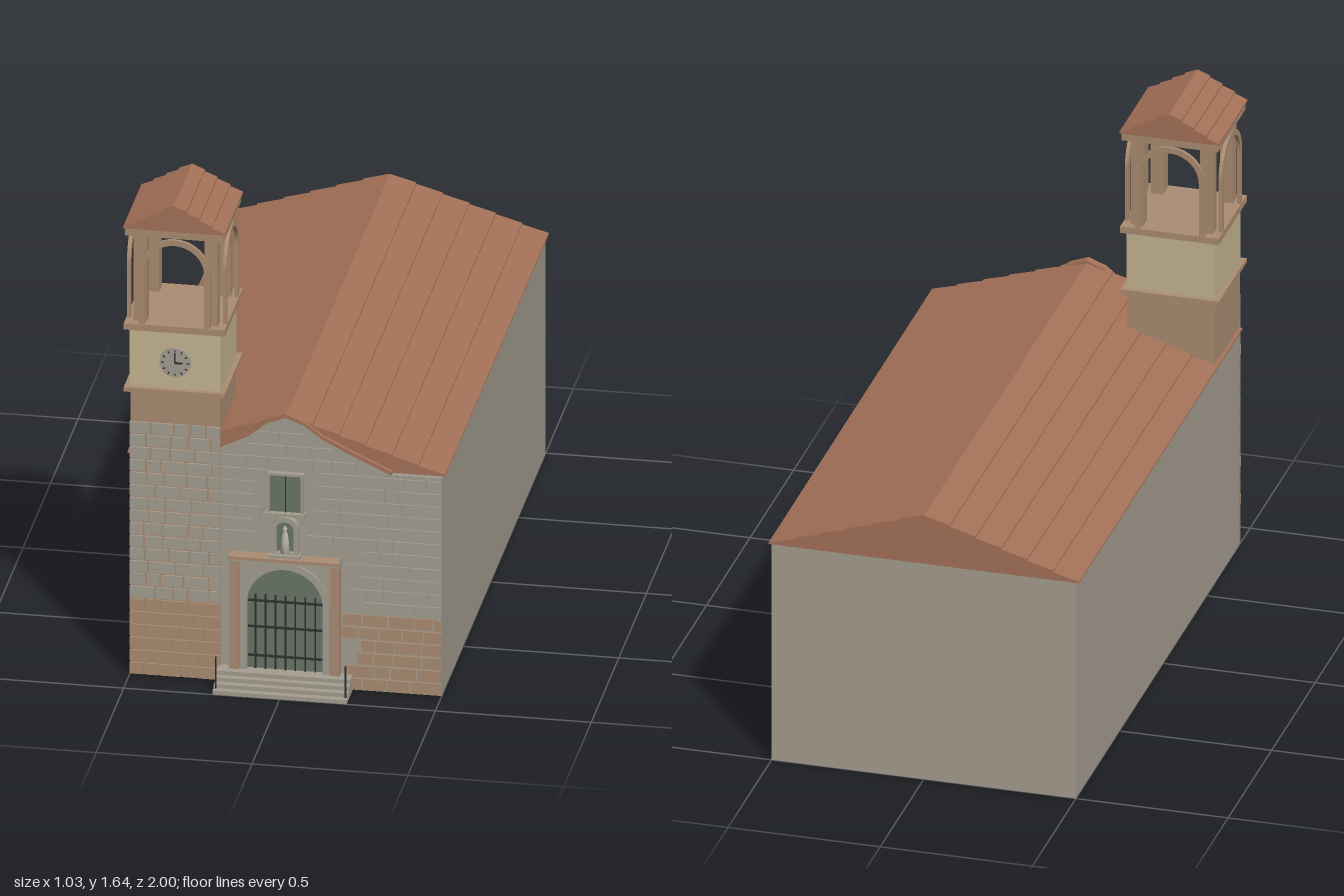
import * as THREE from 'three';
import { mergeGeometries } from 'three/addons/utils/BufferGeometryUtils.js';

const paint = (name, color) => {
  const m = new THREE.MeshStandardMaterial({ color });
  m.name = name;
  return m;
};

export function createModel() {
  const model = new THREE.Group();
  model.name = 'church';
  const stone = paint('grey stone', 0xa59e90), tan = paint('tan stone', 0xab8c72);
  const tile = paint('roof tile', 0xa47158), cream = paint('cream plaster', 0xc5b591);
  const green = paint('green shutter', 0x6a7566), iron = paint('dark iron', 0x2e302e);
  const pale = paint('pale stone', 0xb9b4a8);

  const add = (name, geo, mat, parent = model) => {
    const m = new THREE.Mesh(geo, mat);
    m.name = name;
    parent.add(m);
    return m;
  };
  // box given by its limits
  const span = (x0, x1, y0, y1, z0, z1) =>
    new THREE.BoxGeometry(x1 - x0, y1 - y0, z1 - z0).translate((x0 + x1) / 2, (y0 + y1) / 2, (z0 + z1) / 2);
  const extrude = (shape, z0, z1) =>
    new THREE.ExtrudeGeometry(shape, { depth: z1 - z0, bevelEnabled: false, curveSegments: 14 }).translate(0, 0, z0);
  const polygon = pts => new THREE.Shape(pts.map(p => new THREE.Vector2(...p)));
  // upright opening with a round head
  const archPath = (r, y0, spring, Type = THREE.Shape) => {
    const s = new Type();
    s.moveTo(-r, y0);
    s.lineTo(r, y0);
    s.lineTo(r, spring);
    s.absarc(0, spring, r, 0, Math.PI, false);
    s.lineTo(-r, y0);
    return s;
  };
  // arched band with open feet
  const archBand = (outer, inner, y0, spring) => {
    const s = new THREE.Shape();
    s.moveTo(outer, y0);
    s.lineTo(outer, spring);
    s.absarc(0, spring, outer, 0, Math.PI, false);
    s.lineTo(-outer, y0);
    s.lineTo(-inner, y0);
    s.lineTo(-inner, spring);
    s.absarc(0, spring, inner, Math.PI, 0, true);
    s.lineTo(inner, y0);
    return s;
  };
  // gabled roof with overlapping courses
  const gableRoof = (half, eave, ridge, courses, lip, z0, z1) => {
    const right = [];
    for (let i = 0; i < courses; i++) {
      const x = half * (1 - i / courses), y = eave + (ridge - eave) * i / courses;
      right.push([x, y], [x, y + lip]);
    }
    const left = right.map(([x, y]) => [-x, y]).reverse();
    return extrude(polygon([...right, [0, ridge], ...left]), z0, z1);
  };

  // nave
  add('naveWalls', span(-0.5, 0.5, 0, 0.76, -1, 0.875), stone);
  add('naveRoof', gableRoof(0.51, 0.76, 0.93, 6, 0.005, -1, 0.878), tile);

  // facade with curved gable
  const gable = [[-0.21, 0.81], [-0.12, 0.855], [-0.06, 0.905], [0, 0.928], [0.06, 0.905],
    [0.12, 0.86], [0.2, 0.82], [0.34, 0.755]];
  add('facadeWall', extrude(polygon([[-0.21, 0], [0.5, 0], [0.5, 0.755], ...[...gable].reverse()]), 0.86, 0.885), stone);
  add('gableCoping', extrude(polygon([...gable, ...gable.map(([x, y]) => [x, y + 0.012]).reverse()]), 0.865, 0.892), tile);

  // masonry courses
  let seed = 7;
  const rand = () => (seed = (seed * 16807) % 2147483647) / 2147483647;
  const gableHeight = x => {
    for (let i = 1; i < gable.length; i++) {
      const [ax, ay] = gable[i - 1], [bx, by] = gable[i];
      if (x <= bx) return ay + (by - ay) * (x - ax) / (bx - ax);
    }
    return 0.755;
  };
  const masonry = (x0, x1, y0, y1, front, allowed) => {
    const rows = Math.round((y1 - y0) / 0.0435), h = (y1 - y0) / rows, out = [];
    for (let r = 0; r < rows; r++) {
      let x = x0;
      while (x < x1 - 0.01) {
        let e = x + 0.045 + rand() * 0.045;
        if (e > x1 - 0.025) e = x1;
        const a = x + 0.003, b = e - 0.003, lo = y0 + r * h + 0.003, hi = lo + h - 0.006;
        if (allowed(a, b, lo, hi)) out.push(span(a, b, lo, hi, 0.88, front + rand() * 0.002));
        x = e;
      }
    }
    return mergeGeometries(out);
  };
  const clear = (a, b, lo, hi) => {
    const hits = (w, y0, y1) => a < w && b > -w && hi > y0 && lo < y1;
    return !hits(0.178, 0, 0.455) && !hits(0.05, 0.45, 0.6) && !hits(0.06, 0.585, 0.74)
      && hi < Math.min(gableHeight(a), gableHeight(b)) - 0.004;
  };
  add('facadeLowerStones', masonry(-0.207, 0.503, 0, 0.266, 0.889, clear), tan);
  add('facadeUpperStones', masonry(-0.207, 0.503, 0.266, 0.92, 0.889, clear), stone);
  add('towerLowerStones', masonry(-0.503, -0.207, 0, 0.266, 0.891, () => true), tan);
  add('towerUpperStones', masonry(-0.503, -0.207, 0.266, 0.88, 0.891, () => true), stone);

  // bell tower, centred on its own axis
  const tower = new THREE.Group();
  tower.name = 'bellTower';
  tower.position.set(-0.355, 0, 0.742);
  model.add(tower);
  const block = (name, half, y0, y1, mat) => add(name, span(-half, half, y0, y1, -half, half), mat, tower);
  block('towerShaft', 0.144, 0.002, 0.985, tan);
  block('lowerCornice', 0.162, 0.985, 1.0, tan);
  block('clockStage', 0.146, 1.0, 1.2, cream);
  block('upperCornice', 0.162, 1.2, 1.222, tan);
  block('belfryCeiling', 0.158, 1.525, 1.552, tan);
  add('belfryRoof', gableRoof(0.163, 1.552, 1.642, 4, 0.006, -0.165, 0.165), tile, tower);
  for (const x of [-1, 1]) for (const z of [-1, 1])
    add('belfryPost', new THREE.BoxGeometry(0.042, 0.303, 0.042).translate(x * 0.114, 1.3735, z * 0.114), tan, tower);
  for (let i = 0; i < 4; i++) {
    const arch = add('belfryArch', extrude(archBand(0.115, 0.096, 1.222, 1.405), 0.148, 0.16), tan, tower);
    arch.rotation.y = i * Math.PI / 2;
  }

  // clock
  const clock = new THREE.Group();
  clock.name = 'clock';
  clock.position.set(-0.353, 1.095, 0.888);
  model.add(clock);
  add('clockFace', new THREE.CylinderGeometry(0.05, 0.05, 0.012, 32).rotateX(Math.PI / 2).translate(0, 0, 0.006), stone, clock);
  for (let i = 0; i < 12; i++)
    add('hourMark', new THREE.BoxGeometry(0.004, 0.008, 0.002).translate(0, 0.041, 0.013).rotateZ(i * Math.PI / 6), iron, clock);
  add('minuteHand', span(-0.002, 0.002, 0, 0.034, 0.012, 0.015), iron, clock);
  add('hourHand', span(0, 0.024, -0.003, 0.003, 0.012, 0.015), iron, clock);

  // doorway
  const surround = polygon([[-0.146, 0.05], [0.146, 0.05], [0.146, 0.432], [-0.146, 0.432]]);
  surround.holes.push(archPath(0.122, 0.051, 0.292, THREE.Path));
  add('doorSurround', extrude(surround, 0.88, 0.9), stone);
  add('doorArch', extrude(archBand(0.144, 0.122, 0.05, 0.285), 0.88, 0.907), stone);
  add('doorPanel', extrude(archPath(0.124, 0.05, 0.292), 0.88, 0.889), green);
  add('doorLintel', span(-0.18, 0.18, 0.43, 0.441, 0.88, 0.918), stone);
  add('doorCornice', span(-0.178, 0.178, 0.441, 0.452, 0.88, 0.93), tan);
  for (const s of [-1, 1])
    add('doorPilaster', new THREE.BoxGeometry(0.03, 0.38, 0.03).translate(s * 0.162, 0.24, 0.897), tan);
  for (let i = -3; i <= 3; i++)
    add('gateBar', span(i * 0.032 - 0.0025, i * 0.032 + 0.0025, 0.055, 0.312, 0.892, 0.897), iron);
  for (const y of [0.1, 0.2, 0.29])
    add('gateRail', span(-0.12, 0.12, y - 0.003, y + 0.003, 0.891, 0.898), iron);

  // niche with statue
  const niche = archPath(0.044, 0.458, 0.545);
  niche.holes.push(archPath(0.028, 0.466, 0.545, THREE.Path));
  add('nicheFrame', extrude(niche, 0.88, 0.908), stone);
  add('nicheBack', extrude(archPath(0.03, 0.46, 0.545), 0.88, 0.889), green);
  add('nicheSill', span(-0.05, 0.05, 0.452, 0.462, 0.88, 0.92), stone);
  const robe = [[0, 0], [0.015, 0], [0.013, 0.04], [0.009, 0.066], [0.005, 0.074], [0.008, 0.084], [0, 0.094]];
  add('statue', new THREE.LatheGeometry(robe.map(p => new THREE.Vector2(...p)), 12).translate(0, 0.466, 0.902), pale);

  // upper window
  add('windowPanel', span(-0.052, 0.052, 0.603, 0.733, 0.88, 0.893), green);
  add('windowSill', span(-0.064, 0.064, 0.592, 0.602, 0.88, 0.908), stone);
  add('windowLintel', span(-0.06, 0.06, 0.731, 0.739, 0.88, 0.903), stone);
  for (const s of [-1, 1])
    add('windowJamb', new THREE.BoxGeometry(0.008, 0.13, 0.02).translate(s * 0.054, 0.667, 0.89), stone);
  add('windowMullion', span(-0.0015, 0.0015, 0.603, 0.731, 0.89, 0.896), iron);

  // entrance steps and handrails
  for (let i = 0; i < 4; i++)
    add('step', span(-0.215, 0.215, i * 0.0135, (i + 1) * 0.0135, 0.875, 1 - i * 0.022), stone);
  for (const s of [-1, 1])
    add('railPost', new THREE.CylinderGeometry(0.003, 0.003, 0.11, 8).translate(s * 0.208, 0.067, 0.98), iron);

  return model;
}
